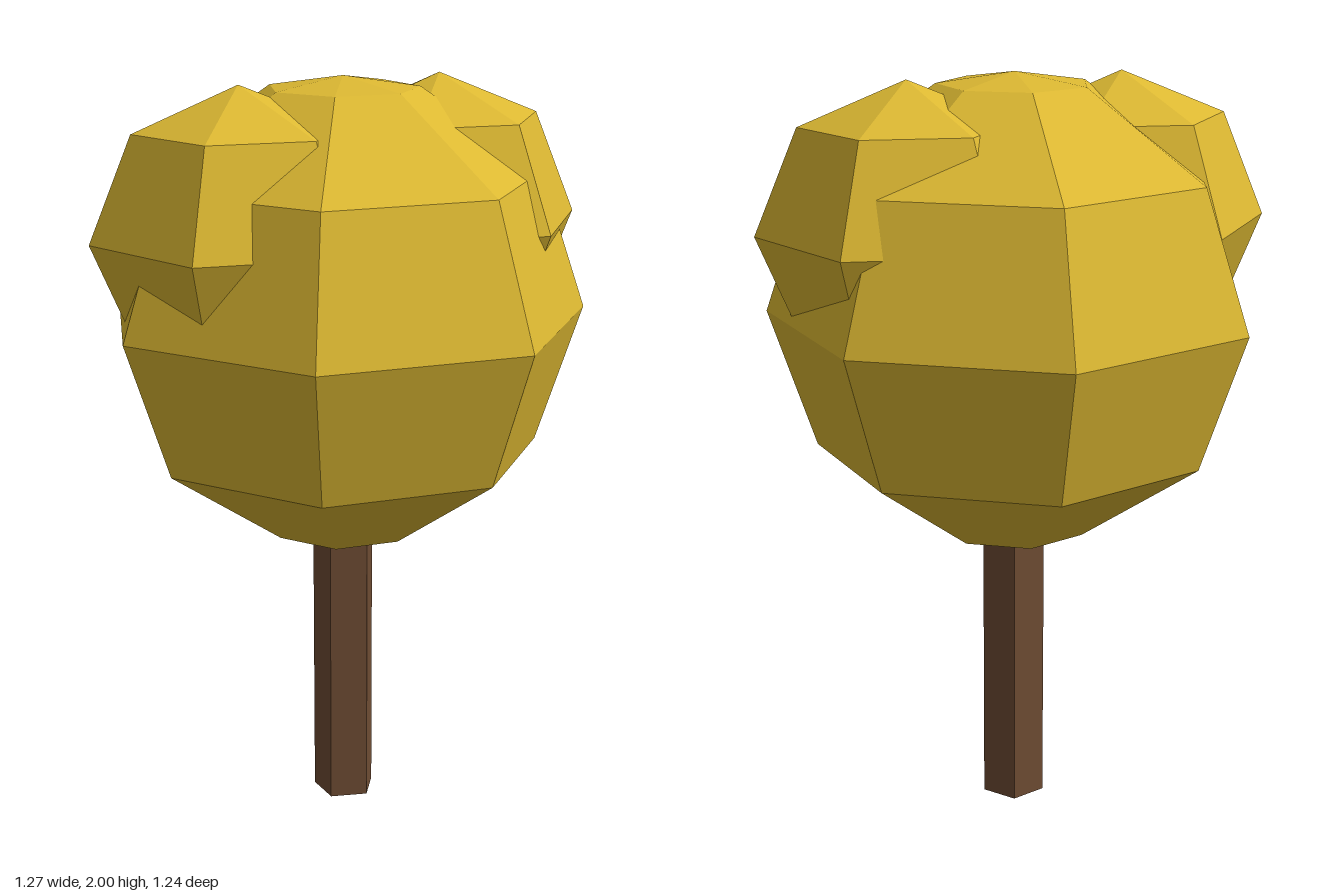
import * as THREE from 'three';

const foliage = new THREE.MeshStandardMaterial({ color: 0xdcb832, flatShading: true });
foliage.name = 'golden foliage';
const bark = new THREE.MeshStandardMaterial({ color: 0x6e4c33, flatShading: true });
bark.name = 'brown bark';

// Faceted ball: rings at the given angles (degrees up from the bottom pole)
function ball(name, sides, angles, radius, halfHeight, x, y, z) {
  const profile = angles.map((deg) => {
    const a = THREE.MathUtils.degToRad(deg);
    return new THREE.Vector2(Math.max(0, Math.sin(a) * radius), -Math.cos(a) * halfHeight);
  });
  profile[0].x = profile[profile.length - 1].x = 0;
  const geometry = new THREE.LatheGeometry(profile, sides).toNonIndexed();
  geometry.computeVertexNormals();
  const mesh = new THREE.Mesh(geometry, foliage);
  mesh.name = name;
  mesh.position.set(x, y, z);
  return mesh;
}

export function createModel() {
  const tree = new THREE.Group();
  tree.name = 'tree';

  // Five-sided trunk, running a little way into the crown
  const trunk = new THREE.Mesh(new THREE.CylinderGeometry(0.086, 0.086, 0.9, 5), bark);
  trunk.name = 'trunk';
  trunk.position.set(0, 0.45, -0.032);
  tree.add(trunk);

  // Seven-sided main crown
  tree.add(ball('mainCrown', 7, [0, 18, 54, 90, 126, 162, 180], 0.65, 0.623, 0, 1.377, -0.035));

  // Two six-sided clumps on the shoulders of the crown
  const clumpAngles = [0, 45, 90, 135, 180];
  tree.add(ball('leftClump', 6, clumpAngles, 0.388, 0.385, 0.28, 1.607, 0.045));
  tree.add(ball('rightClump', 6, clumpAngles, 0.388, 0.385, -0.28, 1.607, -0.127));

  return tree;
}
